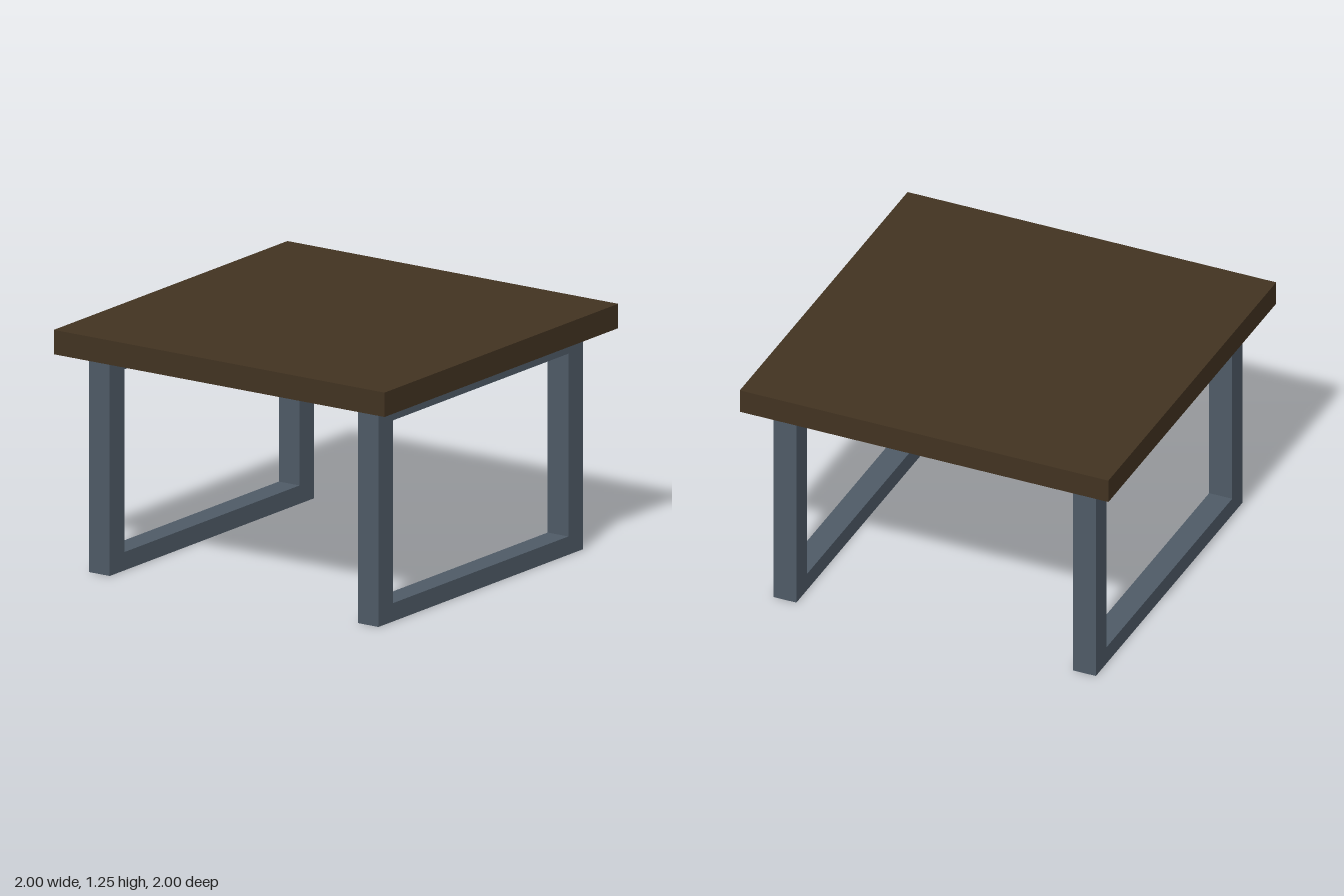
import * as THREE from 'three';

// Closed rectangle as a list of corners, counter-clockwise
function rectangle(halfWidth, bottom, top) {
  return [[-halfWidth, bottom], [halfWidth, bottom], [halfWidth, top], [-halfWidth, top]]
    .map(([x, y]) => new THREE.Vector2(x, y));
}

export function createModel() {
  const wood = new THREE.MeshStandardMaterial({ name: 'dark wood', color: 0x423321 });
  const steel = new THREE.MeshStandardMaterial({ name: 'slate metal', color: 0x4f5b67 });

  const table = new THREE.Group();
  table.name = 'table';

  // Square slab top
  const top = new THREE.Mesh(new THREE.BoxGeometry(2, 0.125, 2), wood);
  top.name = 'tableTop';
  top.position.y = 1.1875;
  table.add(top);

  // Rectangular loop legs: thicker posts, thinner rails
  const depth = 0.125;
  const outline = new THREE.Shape(rectangle(0.875, 0, 1.125));
  outline.holes.push(new THREE.Path(rectangle(0.75, 0.094, 1.031).reverse()));
  const frame = new THREE.ExtrudeGeometry(outline, { depth, bevelEnabled: false });
  frame.translate(0, 0, -depth / 2).rotateY(Math.PI / 2);

  for (const [name, side] of [['leftLegFrame', 1], ['rightLegFrame', -1]]) {
    const leg = new THREE.Mesh(frame, steel);
    leg.name = name;
    leg.position.x = side * 0.8125;
    table.add(leg);
  }

  return table;
}
